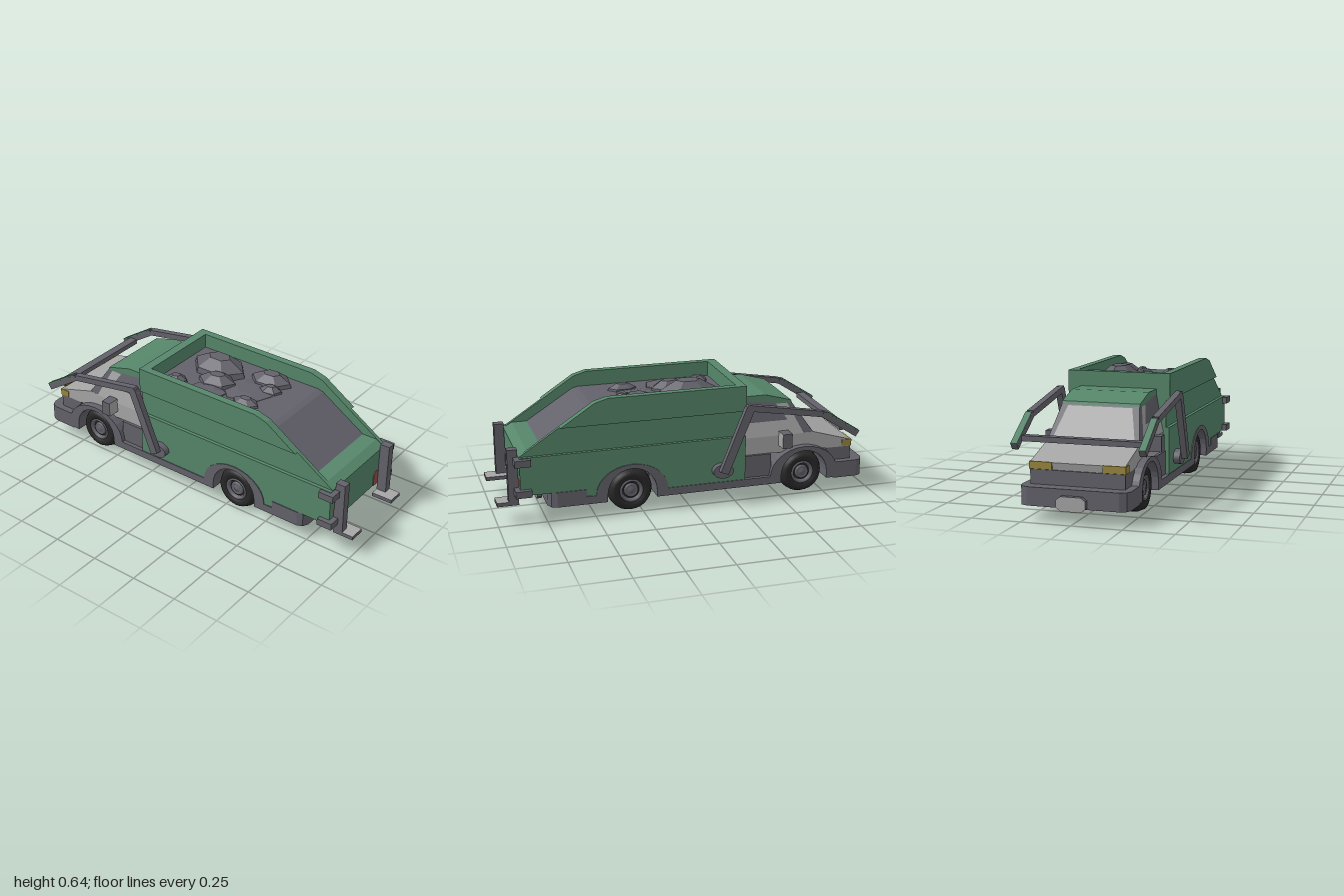
import * as THREE from 'three';

const mat = (name, color, side = THREE.FrontSide) => {
  const m = new THREE.MeshStandardMaterial({ color, side });
  m.name = name;
  return m;
};

export function createModel() {
  const root = new THREE.Group();
  root.name = 'tipperTruck';
  const green = mat('bodyGreen', 0x56866a);
  const dark = mat('darkGrey', 0x63626b);
  const light = mat('lightGrey', 0xa6a6a6, THREE.DoubleSide);
  const black = mat('tyreBlack', 0x282828);
  const red = mat('lampRed', 0x96504a);
  const yellow = mat('lampYellow', 0x9a873e);

  const add = (name, geo, material, parent = root) => {
    const m = new THREE.Mesh(geo, material);
    m.name = name;
    parent.add(m);
    return m;
  };
  const shapeOf = (pts) => new THREE.Shape(pts.map((p) => new THREE.Vector2(p[0], p[1])));
  // side profile of [z, y] points, extruded from xa to xb
  const slab = (pts, xa, xb) => new THREE.ExtrudeGeometry(shapeOf(pts), { depth: xb - xa, bevelEnabled: false })
    .rotateY(-Math.PI / 2).translate(xb, 0, 0);
  const box = (x0, x1, y0, y1, z0, z1) => new THREE.BoxGeometry(x1 - x0, y1 - y0, z1 - z0)
    .translate((x0 + x1) / 2, (y0 + y1) / 2, (z0 + z1) / 2);
  // mirrored box: x range given for the +x side
  const sideBox = (s, a, b, ...r) => (s > 0 ? box(a, b, ...r) : box(-b, -a, ...r));
  const sideSlab = (s, pts, a, b) => (s > 0 ? slab(pts, a, b) : slab(pts, -b, -a));
  const arc = (cz, cy, rz, ry, from, to, n = 14) => Array.from({ length: n + 1 }, (_, i) => {
    const a = from + ((to - from) * i) / n;
    return [cz + rz * Math.cos(a), cy + ry * Math.sin(a)];
  });
  const axles = [-0.63, 0.31];
  const axleY = 0.118;

  // chassis with wheel arches and flared fenders
  add('chassis', slab([
    [-0.86, 0.08], [-0.76, 0.08], ...arc(-0.63, axleY, 0.13, 0.13, Math.PI, 0), [-0.5, 0.08],
    [0.18, 0.08], ...arc(0.31, axleY, 0.13, 0.13, Math.PI, 0), [0.44, 0.08], [0.62, 0.08], [0.62, 0.121],
    ...arc(0.31, 0.121, 0.19, 0.15, 0, Math.PI), ...arc(-0.63, 0.121, 0.19, 0.15, 0, Math.PI), [-0.86, 0.121],
  ], -0.272, 0.272), dark);
  add('chassisCore', box(-0.12, 0.12, 0.08, 0.24, -0.8, 0.5), dark);

  // rounded bumpers, drawn in plan
  const bumper = (name, zIn, zOut, y0, y1) => {
    const k = Math.sign(zOut - zIn) * 0.045;
    const half = [[0.272, zIn], [0.272, zOut - k], [0.26, zOut - k * 0.35], [0.227, zOut]];
    const pts = [...half, ...half.map(([x, z]) => [-x, z]).reverse()].map(([x, z]) => [x, -z]);
    add(name, new THREE.ExtrudeGeometry(shapeOf(pts), { depth: y1 - y0, bevelEnabled: false })
      .rotateX(-Math.PI / 2).translate(0, y0, 0), dark);
  };
  bumper('frontBumper', 0.55, 0.745, 0.08, 0.16);
  bumper('rearBumper', -0.8, -0.975, 0.075, 0.165);

  // blank number plates
  const plate = (name, y, z) => {
    const pts = [[-0.072, 0.018], [-0.072, -0.018], [-0.05, -0.035], [0.05, -0.035],
      [0.072, -0.018], [0.072, 0.018], [0.05, 0.035], [-0.05, 0.035]];
    add(name, new THREE.ExtrudeGeometry(shapeOf(pts), { depth: 0.025, bevelEnabled: false })
      .translate(0, y, z), [light, dark]);
  };
  plate('frontPlate', 0.086, 0.745);
  plate('rearPlate', 0.1, -1);

  // load body: lower shell, walls, bulkhead, tailgate lip and floor
  add('lowerBody', slab([
    [-0.3, 0.115], [0.165, 0.115], ...arc(0.31, axleY, 0.145, 0.14, Math.PI, 0), [0.455, 0.115],
    [0.6, 0.13], [0.72, 0.16], [0.885, 0.16], [0.885, 0.36], [-0.3, 0.36],
  ], -0.268, 0.268), green);
  for (const s of [-1, 1]) {
    add('middleWall', sideSlab(s, [[0.885, 0.36], [0.67, 0.5], [-0.3, 0.5], [-0.3, 0.36]], 0.23, 0.25), green);
    add('upperWall', sideSlab(s, [[0.675, 0.497], [0.5, 0.612], [0.43, 0.632], [-0.3, 0.632], [-0.3, 0.497]], 0.23, 0.27), green);
  }
  add('bulkhead', box(-0.23, 0.23, 0.36, 0.632, -0.3, -0.25), green);
  add('tailgateLip', slab([[0.885, 0.36], [0.84, 0.385], [0.76, 0.385], [0.76, 0.36]], -0.23, 0.23), green);
  add('loadFloor', slab([[0.76, 0.36], [0.76, 0.385], [0.51, 0.545], [0.48, 0.553], [-0.25, 0.553], [-0.25, 0.36]], -0.23, 0.23), dark);

  // faceted rocks: x, z, half width, half length, top height, turn
  const rocks = [
    [0.08, -0.04, 0.11, 0.165, 0.636, 0], [-0.14, -0.16, 0.05, 0.065, 0.587, 0.3], [-0.035, 0.03, 0.07, 0.11, 0.608, 0.2],
    [0.14, 0.25, 0.08, 0.12, 0.608, 0.1], [-0.11, 0.265, 0.05, 0.08, 0.587, 0], [0.06, 0.3, 0.042, 0.065, 0.587, 0.25],
    [-0.14, 0.03, 0.09, 0.12, 0.573, 0.4], [0.0, 0.2, 0.13, 0.15, 0.566, 0.2],
  ];
  for (const [x, z, w, l, top, turn] of rocks) {
    const h = top - 0.545;
    const rock = new THREE.LatheGeometry([[1, 0], [0.93, 0.45], [0.4, 1], [0, 1]].map((p) => new THREE.Vector2(...p)), 6)
      .scale(w, h, l).rotateY(turn).translate(x, 0.545, z).toNonIndexed();
    rock.computeVertexNormals();
    add('rock', rock, dark);
  }

  // cab: lower shell, sills, nose
  add('cabShell', slab([[-0.3, 0.24], [-0.9, 0.235], [-0.908, 0.272], [-0.69, 0.337], [-0.3, 0.337]], -0.235, 0.235), light);
  add('cabSill', box(-0.25, 0.25, 0.1, 0.241, -0.45, -0.3), dark);
  add('nosePanel', box(-0.235, 0.235, 0.16, 0.236, -0.908, -0.77), dark);

  // greenhouse narrowing towards the roof, with glass plates
  const glassX = (y) => 0.235 - 0.038 * Math.min(1, (y - 0.335) / 0.175);
  const cabin = slab([[-0.3, 0.335], [-0.69, 0.335], [-0.57, 0.51], [-0.43, 0.548], [-0.3, 0.548]], -1, 1);
  const pos = cabin.attributes.position;
  for (let i = 0; i < pos.count; i++) pos.setX(i, pos.getX(i) * glassX(pos.getY(i)));
  cabin.computeVertexNormals();
  add('cabFrame', cabin, dark);
  add('roof', slab([[-0.3, 0.5], [-0.577, 0.5], [-0.572, 0.514], [-0.43, 0.553], [-0.3, 0.553]], -0.201, 0.201), green);
  const quad = (name, pts) => {
    const g = new THREE.BufferGeometry();
    g.setAttribute('position', new THREE.Float32BufferAttribute(pts.flat(), 3));
    g.setIndex([0, 1, 2, 0, 2, 3]);
    g.computeVertexNormals();
    add(name, g, light);
  };
  quad('windscreen', [[0.21, 0.345, -0.688], [-0.21, 0.345, -0.688], [-0.165, 0.495, -0.585], [0.165, 0.495, -0.585]]);
  for (const s of [1, -1]) {
    const w = [[0.335, -0.302], [0.335, -0.635], [0.5, -0.55], [0.5, -0.302]]
      .map(([y, z]) => [s * (glassX(y) + 0.003), y, z]);
    quad('sideWindow', s > 0 ? w.reverse() : w);
  }

  // beam between two [z, y] points
  const beam = (name, s, a, b, t, x0, x1, material, lift = 0) => {
    const dz = b[0] - a[0], dy = b[1] - a[1], len = Math.hypot(dz, dy);
    const n = [-dy / len, dz / len].map((v) => v * Math.sign(dz));
    const at = (p, o) => [p[0] + n[0] * o, p[1] + n[1] * o];
    add(name, sideSlab(s, [at(a, lift - t / 2), at(b, lift - t / 2), at(b, lift + t / 2), at(a, lift + t / 2)], x0, x1), material);
  };

  for (const s of [-1, 1]) {
    // lifting arm and pivot
    const path = [[-0.165, 0.19], [-0.302, 0.53], [-0.7, 0.463], [-0.9, 0.335]];
    for (let i = 0; i < 3; i++) beam('liftArm', s, path[i], path[i + 1], i ? 0.032 : 0.045, 0.3, 0.333, dark);
    add('armElbow', sideSlab(s, [[-0.27, 0.515], [-0.29, 0.547], [-0.31, 0.546], [-0.325, 0.51]], 0.3, 0.333), dark);
    beam('armTipStripe', s, [-0.71, 0.457], [-0.9, 0.335], 0.006, 0.3, 0.333, green, 0.019);
    add('armPivot', new THREE.CylinderGeometry(0.055, 0.055, 0.06, 20).rotateZ(Math.PI / 2)
      .scale(1, 0.7, 1).translate(s * 0.272, 0.19, -0.17), dark);

    // mirror with reflective face towards +z
    add('mirror', sideBox(s, 0.225, 0.3, 0.28, 0.358, -0.548, -0.495), [dark, dark, dark, dark, light, dark]);
    add('headlight', sideBox(s, 0.125, 0.239, 0.238, 0.274, -0.912, -0.857), yellow);

    // tail lamp
    const lamp = [[0.147, 0.16], [0.23, 0.16], [0.23, 0.24], [0.16, 0.24], [0.147, 0.228]].map(([x, y]) => [s * x, y]);
    add('tailLamp', new THREE.ExtrudeGeometry(shapeOf(lamp), { depth: 0.005, bevelEnabled: false }).translate(0, 0, 0.884), red);

    // stabiliser: post, foot, brackets
    add('stabiliserPost', sideBox(s, 0.188, 0.23, 0.1, 0.395, 0.888, 0.94), dark);
    add('stabiliserFoot', sideBox(s, 0.145, 0.23, 0.1, 0.12, 0.888, 1), [dark, dark, light, dark, dark, dark]);
    for (const y of [0.32, 0.158]) add('stabiliserBracket', sideBox(s, 0.22, 0.293, y, y + 0.036, 0.83, 0.912), dark);

    // wheels
    for (const z of axles) {
      const wheel = new THREE.Group();
      wheel.name = 'wheel';
      wheel.position.set(s * 0.1875, axleY, z);
      wheel.rotation.z = -s * Math.PI / 2;
      root.add(wheel);
      const lathe = (name, pts, material) => add(name,
        new THREE.LatheGeometry(pts.map((p) => new THREE.Vector2(...p)), 28), material, wheel);
      lathe('tyre', [[0, -0.0625], [0.09, -0.0625], [0.102, -0.058], [0.115, -0.03], [0.118, 0],
        [0.115, 0.03], [0.102, 0.058], [0.085, 0.0625], [0.062, 0.058], [0.058, 0.045], [0, 0.045]], black);
      lathe('rim', [[0.062, 0.05], [0.062, 0.06], [0.05, 0.06], [0.046, 0.046]], dark);
      lathe('hub', [[0.038, 0.044], [0.036, 0.054], [0.026, 0.055], [0.022, 0.05], [0.016, 0.056], [0, 0.058]], dark);
    }
  }
  add('armCrossbar', box(-0.302, 0.302, 0.355, 0.382, -0.855, -0.81), dark);
  return root;
}
